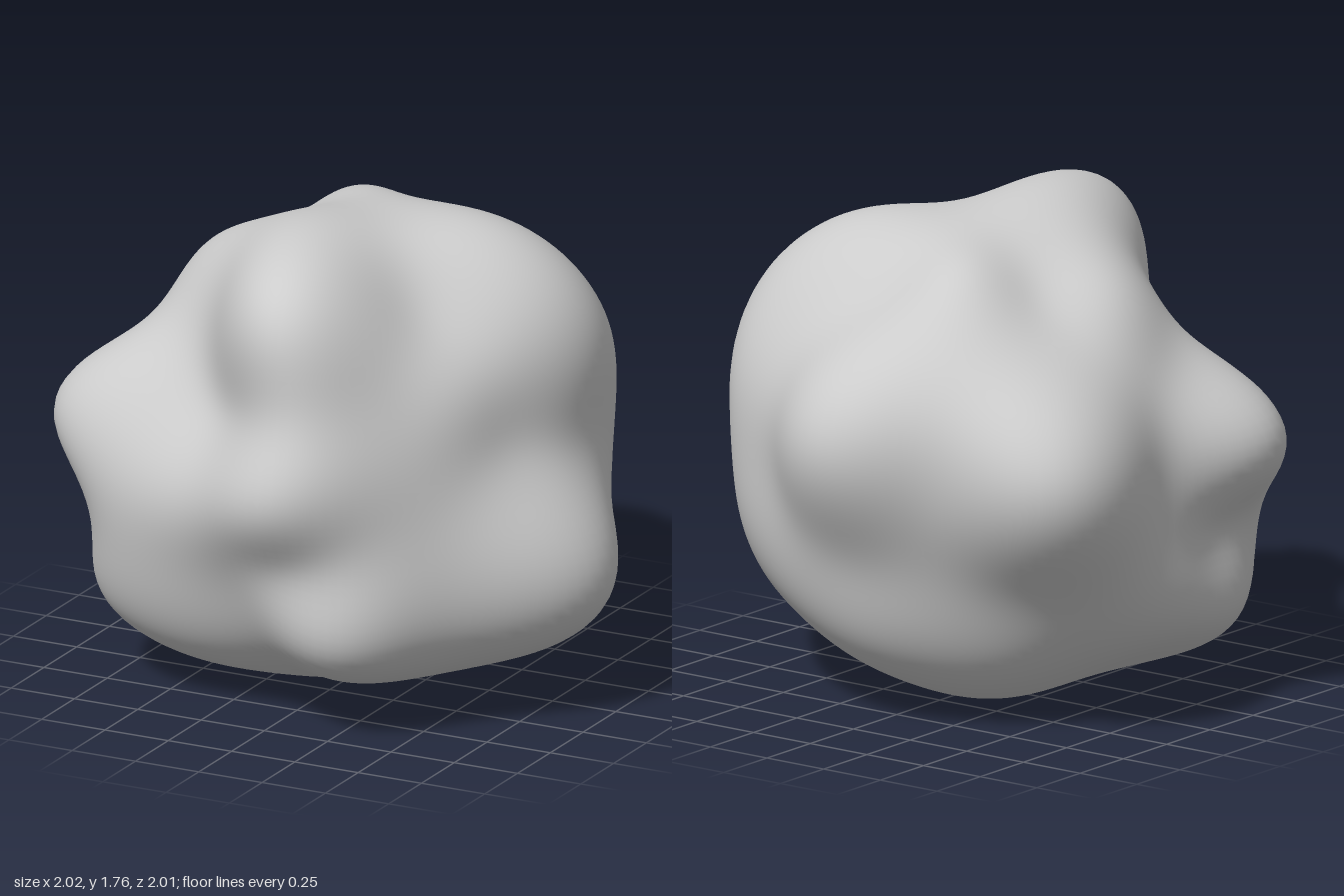
import * as THREE from 'three';
import { mergeVertices } from 'three/addons/utils/BufferGeometryUtils.js';

const CENTRE = new THREE.Vector3(-0.04, 0.87, 0.03);
const BASE = 0.9; // mean radius of the lump

// Handles on the surface: each lobe and hollow is a few points the skin passes through.
const handles = {
  top: [[-0.05, 1.72, 0.03], [-0.4, 1.62, 0.12], [0.2, 1.64, -0.34], [0.15, 1.71, 0]],
  underside: [[-0.03, 0, 0.03], [-0.45, 0.1, 0.03], [0.03, 0.1, 0.4], [0, 0.12, -0.48], [0.48, 0.14, 0.05], [0.2, 0.09, -0.22]],
  upperFrontLobe: [[0, 1.76, 0.4], [0.03, 1.68, 0.74], [0.06, 1.46, 0.9], [0.32, 1.3, 0.81], [-0.04, 1.24, 0.82]],
  frontLobe: [[0.13, 0.89, 1.01], [0.34, 0.95, 0.9], [0.2, 0.6, 0.86]],
  lowerFrontBump: [[0.25, 0.42, 0.88], [0, 0.42, 0.78], [0.15, 0.21, 0.67], [0.6, 0.5, 0.63]],
  frontLeftHollow: [[0.4, 1.5, 0.38], [0.6, 1.23, 0.45], [0.72, 1, 0.27]],
  frontRightHollow: [[-0.28, 1.43, 0.58], [-0.52, 1.1, 0.61], [-0.57, 1.35, 0.35], [-0.4, 0.8, 0.79], [-0.45, 0.5, 0.73], [-0.35, 0.2, 0.6]],
  upperLeftLobe: [[0.4, 1.69, -0.06], [0.74, 1.48, -0.12], [0.83, 1.2, -0.08], [0.84, 0.88, -0.05]],
  lowerLeftLobe: [[1.01, 0.53, 0.06], [0.94, 0.54, 0.28], [0.84, 0.58, -0.28], [0.85, 0.27, 0.05]],
  backLeftSide: [[0.66, 1.17, -0.56], [0.37, 1.28, -0.65], [0.39, 0.85, -0.73], [0.61, 0.68, -0.6], [0.43, 0.27, -0.47]],
  backLobe: [[-0.05, 1.05, -1.01], [-0.05, 1.39, -0.78], [-0.05, 1.56, -0.5], [-0.03, 0.6, -0.82], [0, 0.34, -0.73]],
  backRightLobe: [[-0.86, 0.97, -0.74], [-0.96, 0.93, -0.47], [-0.65, 1.34, -0.5], [-0.44, 0.98, -0.84], [-0.62, 0.55, -0.6], [-0.45, 0.2, -0.45]],
  topGroove: [[-0.4, 1.53, -0.25], [-0.23, 1.65, -0.13], [-0.25, 1.63, -0.41], [-0.55, 1.53, -0.02]],
  rightLobe: [[-1.01, 0.9, 0.36], [-0.82, 1.18, 0.22], [-0.88, 0.9, -0.1], [-0.83, 0.62, 0.29]],
  lowerRightBump: [[-0.87, 0.41, 0.34], [-0.88, 0.4, 0.06], [-0.73, 0.22, 0.15]],
};

// Smooth falloff over the angle between two directions
function falloff(a, b) {
  const k = Math.acos(THREE.MathUtils.clamp(a.dot(b), -1, 1)) / 0.25;
  return (1 + k + k * k / 3) * Math.exp(-k);
}

// Gauss-Jordan solve for the weight of every handle
function solve(m) {
  const n = m.length;
  for (let i = 0; i < n; i++) {
    let p = i;
    for (let r = i + 1; r < n; r++) if (Math.abs(m[r][i]) > Math.abs(m[p][i])) p = r;
    [m[i], m[p]] = [m[p], m[i]];
    for (let r = 0; r < n; r++) {
      if (r === i) continue;
      const f = m[r][i] / m[i][i];
      for (let c = i; c <= n; c++) m[r][c] -= f * m[i][c];
    }
  }
  return m.map((row, i) => row[n] / row[i]);
}

// Returns the radius of the lump in any direction
function makeRadius() {
  const points = Object.values(handles).flat().map((p) => new THREE.Vector3(...p).sub(CENTRE));
  const dirs = points.map((p) => p.clone().normalize());
  const weights = solve(dirs.map((d, i) => [
    ...dirs.map((e, j) => falloff(d, e) + (i === j ? 0.003 : 0)),
    points[i].length() - BASE,
  ]));
  return (dir) => dirs.reduce((r, d, i) => r + weights[i] * falloff(dir, d), BASE);
}

export function createModel() {
  const radius = makeRadius();
  let geometry = new THREE.SphereGeometry(1, 128, 88);

  // Push the sphere in and out along its radii
  const pos = geometry.attributes.position;
  const v = new THREE.Vector3();
  for (let i = 0; i < pos.count; i++) {
    v.fromBufferAttribute(pos, i).normalize();
    v.multiplyScalar(radius(v)).add(CENTRE);
    pos.setXYZ(i, v.x, v.y, v.z);
  }

  // Settle on the ground
  geometry.computeBoundingBox();
  geometry.translate(0, -geometry.boundingBox.min.y, 0);

  // Weld the seam so the shading is smooth all round
  geometry.deleteAttribute('uv');
  geometry.deleteAttribute('normal');
  geometry = mergeVertices(geometry, 1e-4);
  geometry.computeVertexNormals();

  const group = new THREE.Group();
  group.name = 'lumpyRock';
  const rock = new THREE.Mesh(geometry, new THREE.MeshStandardMaterial({ color: 0xcccccc }));
  rock.name = 'rockBody';
  group.add(rock);
  return group;
}
